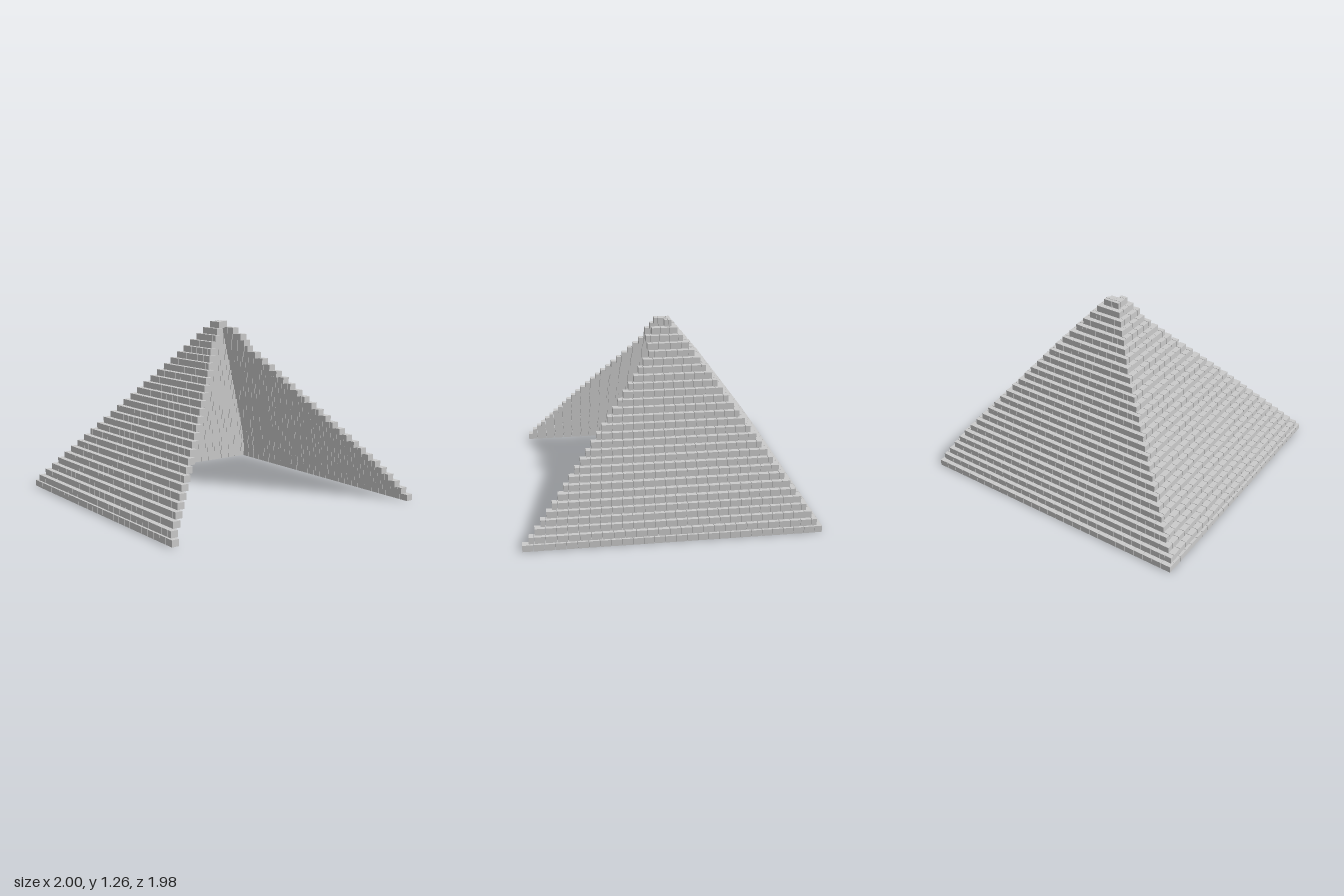
import * as THREE from 'three';
import { mergeGeometries } from 'three/addons/utils/BufferGeometryUtils.js';

const COURSES = 28, H = 0.045, DEPTH = 0.052, LENGTH = 0.072, GAP = 0.003;

// Outline of the courses, as [course, position] keys
const PROFILE = {
  leftX: [[0, 1], [1, 0.984], [5, 0.877], [20, 0.374], [27, 0.123]],
  rightX: [[0, -1], [1, -0.984], [5, -0.83], [20, -0.24], [27, 0.003]],
  backZ: [[0, -0.99], [1, -0.958], [5, -0.836], [20, -0.354], [27, -0.11]],
  leftEnd: [[0, 0.99], [1, 0.947], [5, 0.787], [20, 0.19], [22, 0.115], [23, 0.07], [25, 0.08], [26, 0.035], [27, -0.06]],
  rightEnd: [[0, 0.91], [12, 0.5], [24, 0.06], [25, 0.06], [26, 0.03], [27, 0.005]],
};

function at(keys, i) {
  let k = 0;
  while (k < keys.length - 2 && keys[k + 1][0] < i) k++;
  const [a, va] = keys[k], [b, vb] = keys[k + 1];
  return va + (vb - va) * (i - a) / (b - a);
}

// Cuts a run of wall into blocks; odd courses begin and end with half blocks
function cuts(a, b, odd) {
  const n = Math.max(1, Math.round((b - a) / LENGTH));
  const step = (b - a) / n, points = [a];
  for (let k = 0; k < n; k++) {
    const p = a + (k + (odd ? 0.5 : 1)) * step;
    if (p < b - 0.001) points.push(p);
  }
  points.push(b);
  return points;
}

function block(x0, x1, y, z0, z1) {
  const g = new THREE.BoxGeometry(x1 - x0, H, z1 - z0);
  return g.translate((x0 + x1) / 2, y + H / 2, (z0 + z1) / 2);
}

export function createModel() {
  const group = new THREE.Group();
  const material = new THREE.MeshStandardMaterial({ color: 0xcccccc, flatShading: true });
  const walls = { backWall: [], leftWall: [], rightWall: [] };

  for (let i = 0; i < COURSES; i++) {
    const y = i * H, odd = i % 2 === 1;
    const xl = at(PROFILE.leftX, i), xr = at(PROFILE.rightX, i), zb = at(PROFILE.backZ, i);

    // Back and side courses take turns at filling the corners
    const inset = odd ? DEPTH : 0;
    const xs = cuts(xr + inset, xl - inset, odd);
    for (let k = 0; k < xs.length - 1; k++) {
      walls.backWall.push(block(xs[k] + GAP / 2, xs[k + 1] - GAP / 2, y, zb, zb + DEPTH));
    }

    // Side courses run forward to the stepped edge of the opening
    const start = zb + (odd ? 0 : DEPTH);
    const sides = [
      ['leftWall', xl - DEPTH, at(PROFILE.leftEnd, i)],
      ['rightWall', xr, at(PROFILE.rightEnd, i)],
    ];
    for (const [name, x, end] of sides) {
      if (end - start < 0.02) continue;
      const zs = cuts(start, end, odd);
      for (let k = 0; k < zs.length - 1; k++) {
        walls[name].push(block(x, x + DEPTH, y, zs[k] + GAP / 2, zs[k + 1] - GAP / 2));
      }
    }
  }

  for (const [name, blocks] of Object.entries(walls)) {
    const mesh = new THREE.Mesh(mergeGeometries(blocks), material);
    mesh.name = name;
    group.add(mesh);
  }
  return group;
}
